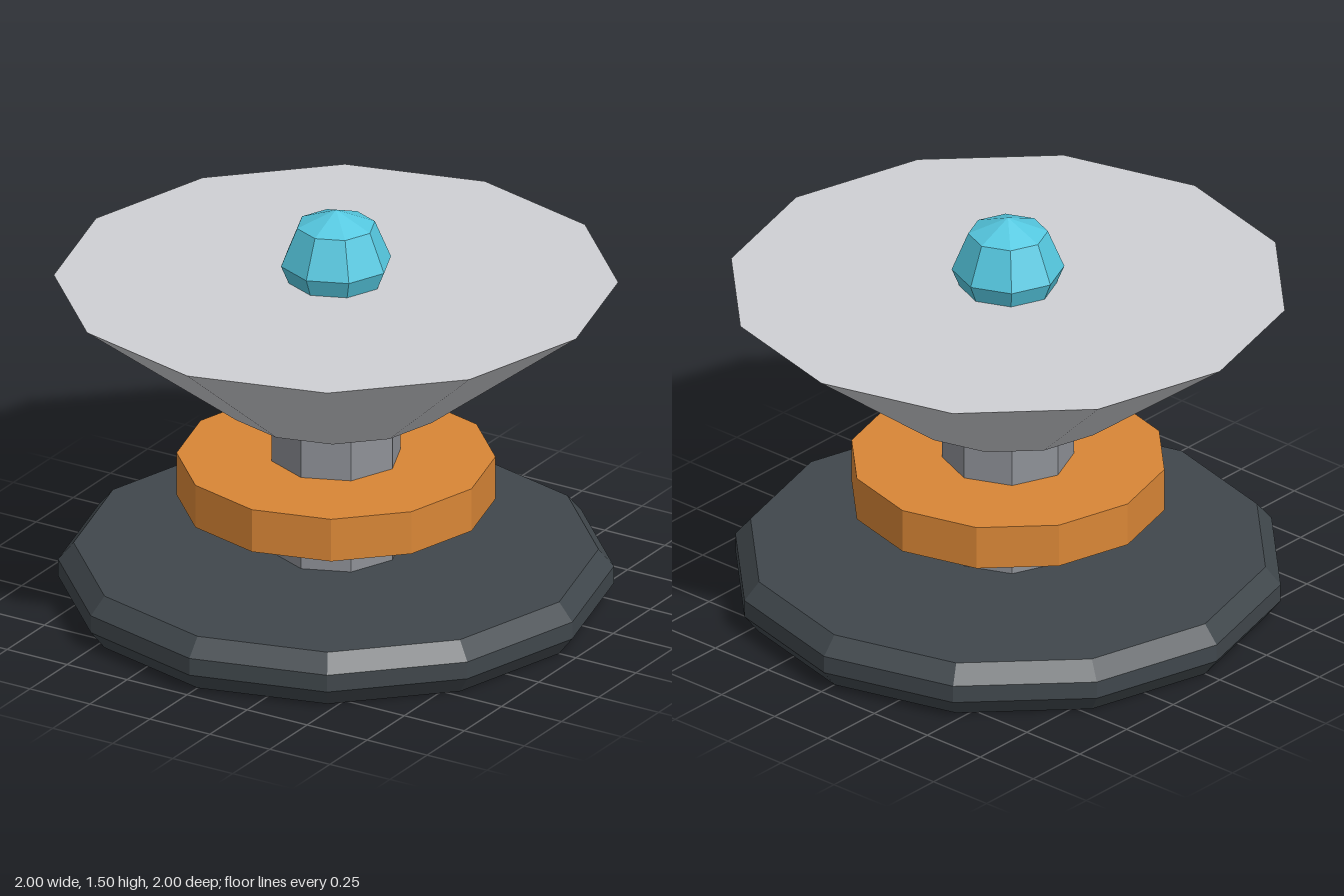
import * as THREE from 'three';

const paint = (name, color) => {
  const m = new THREE.MeshStandardMaterial({ color, flatShading: true });
  m.name = name;
  return m;
};

export function createModel() {
  const model = new THREE.Group();
  model.name = 'pedestal';

  const charcoal = paint('charcoal', 0x40474c);
  const steel = paint('steel grey', 0x8e9197);
  const orange = paint('orange', 0xd98636);
  const silver = paint('pale silver', 0xcfd0d4);
  const cyan = paint('cyan', 0x55c8e0);

  const add = (name, geometry, material, y = 0) => {
    const mesh = new THREE.Mesh(geometry, material);
    mesh.name = name;
    mesh.position.y = y;
    model.add(mesh);
  };

  // Upright faceted drum from bottom to top height
  const drum = (name, rTop, rBottom, bottom, top, sides, material) =>
    add(name, new THREE.CylinderGeometry(rTop, rBottom, top - bottom, sides),
      material, (top + bottom) / 2);

  // Bevelled base disc
  const baseProfile = [[0, 0], [0.93, 0], [0.985, 0.07], [0.985, 0.135], [0.93, 0.2], [0, 0.2]]
    .map(([r, y]) => new THREE.Vector2(r, y));
  add('base', new THREE.LatheGeometry(baseProfile, 12), charcoal);

  // Post, collar ring and flared dish
  drum('post', 0.235, 0.235, 0.18, 0.8, 8, steel);
  drum('collar', 0.565, 0.565, 0.39, 0.553, 12, orange);
  drum('dish', 1, 0.4, 0.77, 1.235, 12, silver);

  // Orb seated in the dish
  add('orb', new THREE.SphereGeometry(0.2, 8, 4), cyan, 1.302);

  return model;
}
